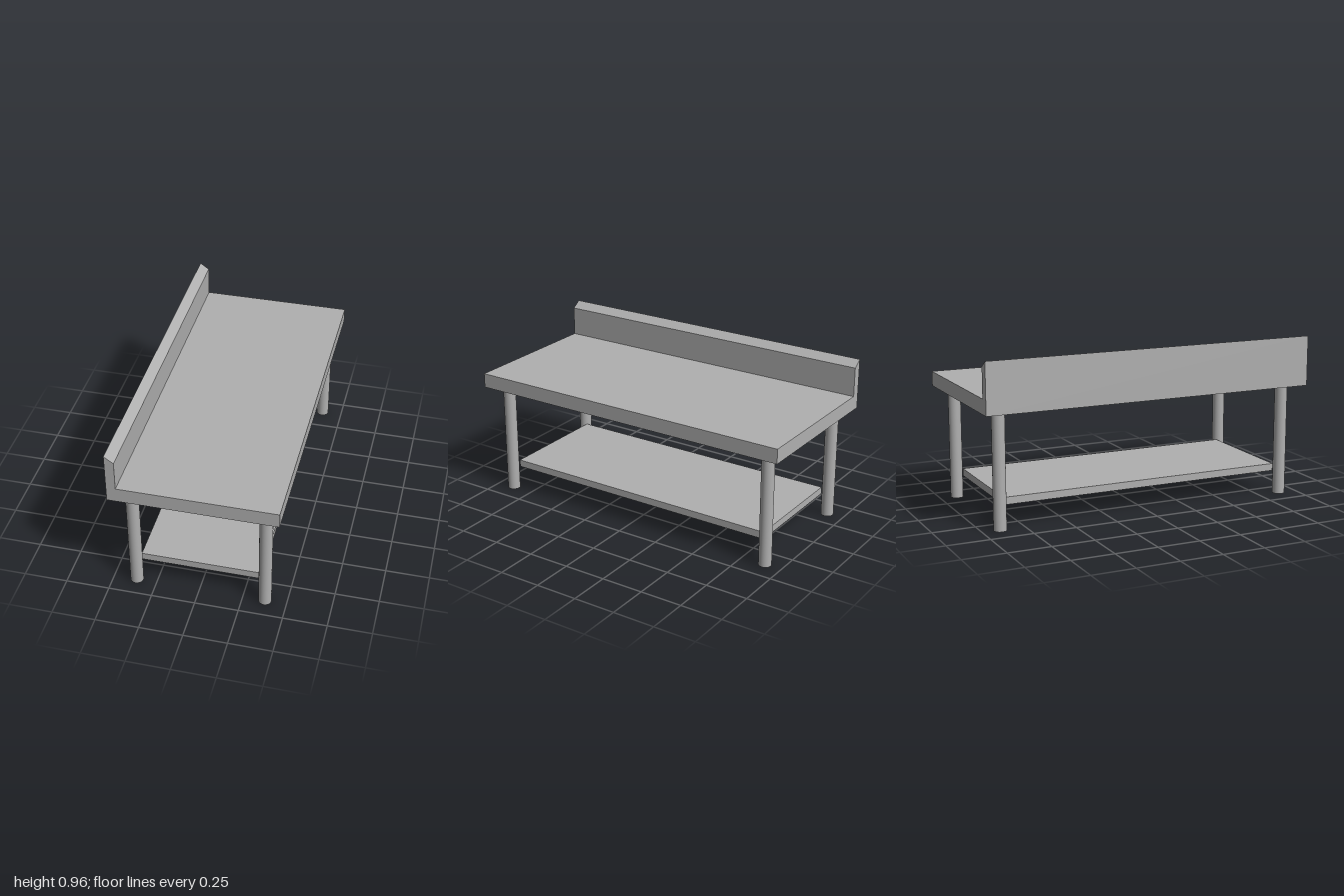
import * as THREE from 'three';

export function createModel() {
  const group = new THREE.Group();
  group.name = 'workTable';
  const steel = new THREE.MeshStandardMaterial({ color: 0xb0b0b0 });
  steel.name = 'steel grey';

  const add = (name, geometry, x, y, z) => {
    const mesh = new THREE.Mesh(geometry, steel);
    mesh.name = name;
    mesh.position.set(x, y, z);
    group.add(mesh);
  };

  // Worktop with a bevelled upstand, one profile extruded along z
  const profile = new THREE.Shape([
    [-0.47, 0.667], [0.47, 0.667], [0.47, 0.753],
    [-0.417, 0.753], [-0.417, 0.926], [-0.47, 0.963],
  ].map(([x, y]) => new THREE.Vector2(x, y)));
  add('worktopWithUpstand',
    new THREE.ExtrudeGeometry(profile, { depth: 2, bevelEnabled: false }), 0, 0, -1);

  // Lower shelf, its corners set into the legs
  add('lowerShelf', new THREE.BoxGeometry(0.685, 0.043, 1.725), 0.003, 0.154, -0.003);

  // Round legs
  const legHeight = 0.667;
  const leg = new THREE.CylinderGeometry(0.037, 0.037, legHeight, 32);
  for (const [side, x] of [['right', -0.366], ['left', 0.377]]) {
    for (const [end, z] of [['Front', 0.888], ['Back', -0.897]]) {
      add(`${side}${end}Leg`, leg, x, legHeight / 2, z);
    }
  }
  return group;
}
